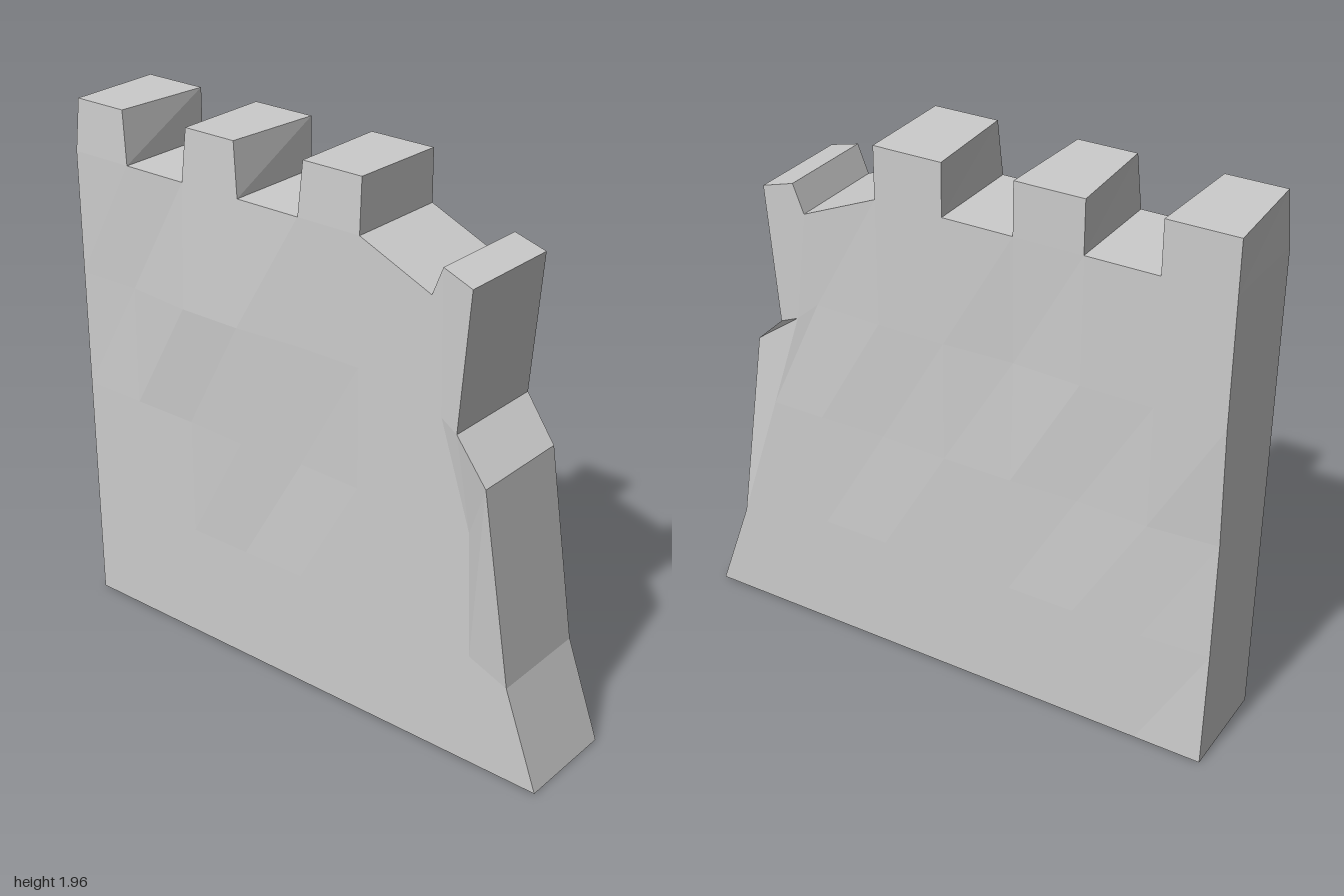
import * as THREE from 'three';

// Grid lines of the stonework: columns across, rows upward
const COLS = [-1, -0.755, -0.5, -0.255, 0, 0.25];
const ROWS = [0, 0.44, 0.88, 1.32, 1.77, 1.955];
const FRONT = 0.165, BACK = -0.21;

// The last three columns follow the broken right edge, bottom to top
const BROKEN = [
  [[0.5, 0], [0.5, 0.44], [0.5, 0.88], [0.5, 1.32], [0.53, 1.65]],
  [[0.75, 0], [0.72, 0.42], [0.7, 0.88], [0.58, 1.25], [0.57, 1.75]],
  [[1, 0], [0.87, 0.36], [0.79, 1.09], [0.65, 1.22], [0.69, 1.715]],
];

// Small depth shifts of the worn stones, keyed by column,row
const FRONT_SHIFT = {
  '2,3': 0.02, '3,3': 0.02, '3,2': 0.012, '4,2': -0.008, '1,3': -0.006,
  '8,2': 0.05, '8,3': 0.015, '8,4': 0.015,
};
const BACK_SHIFT = {
  '0,1': 0.015, '0,2': 0.02, '2,2': 0.01, '3,3': 0.012, '5,2': 0.008,
  '6,3': 0.008, '8,2': 0.048,
};

// Position of a grid corner on the front or back face
function corner(c, r, front) {
  let [x, y] = c < 6 ? [COLS[c], ROWS[r]] : BROKEN[c - 6][r];
  let z = front ? FRONT : BACK;
  z += (front ? FRONT_SHIFT : BACK_SHIFT)[`${c},${r}`] || 0;
  // Merlon tops taper slightly toward the front
  if (r === 5 && front) {
    x += c % 2 === 0 ? 0.015 : c === 5 ? 0 : -0.02;
    y += 0.004;
    z -= 0.01;
  }
  return [x, y, z];
}

function wallGeometry() {
  const filled = (c, r) => c >= 0 && c < 8 && r >= 0 &&
    (r < 4 || (r === 4 && c < 5 && c % 2 === 0));
  const positions = [];
  const quad = (a, b, c, d) => positions.push(...a, ...b, ...c, ...a, ...c, ...d);

  for (let c = 0; c < 8; c++) {
    for (let r = 0; r < 5; r++) {
      if (!filled(c, r)) continue;
      const ring = [[c, r], [c + 1, r], [c + 1, r + 1], [c, r + 1]];
      const f = ring.map(([i, j]) => corner(i, j, true));
      const b = ring.map(([i, j]) => corner(i, j, false));
      quad(f[0], f[1], f[2], f[3]);
      quad(b[1], b[0], b[3], b[2]);
      // Close the thickness wherever there is no neighbouring block
      const neighbours = [[c, r - 1], [c + 1, r], [c, r + 1], [c - 1, r]];
      neighbours.forEach(([i, j], k) => {
        const n = (k + 1) % 4;
        if (!filled(i, j)) quad(f[k], b[k], b[n], f[n]);
      });
    }
  }
  const geometry = new THREE.BufferGeometry();
  geometry.setAttribute('position', new THREE.Float32BufferAttribute(positions, 3));
  geometry.computeVertexNormals();
  return geometry;
}

export function createModel() {
  const group = new THREE.Group();
  group.name = 'ruinedCastleWall';
  const stone = new THREE.MeshStandardMaterial({ color: 0xcccccc, flatShading: true });
  const wall = new THREE.Mesh(wallGeometry(), stone);
  wall.name = 'crenellatedWall';
  group.add(wall);
  return group;
}
